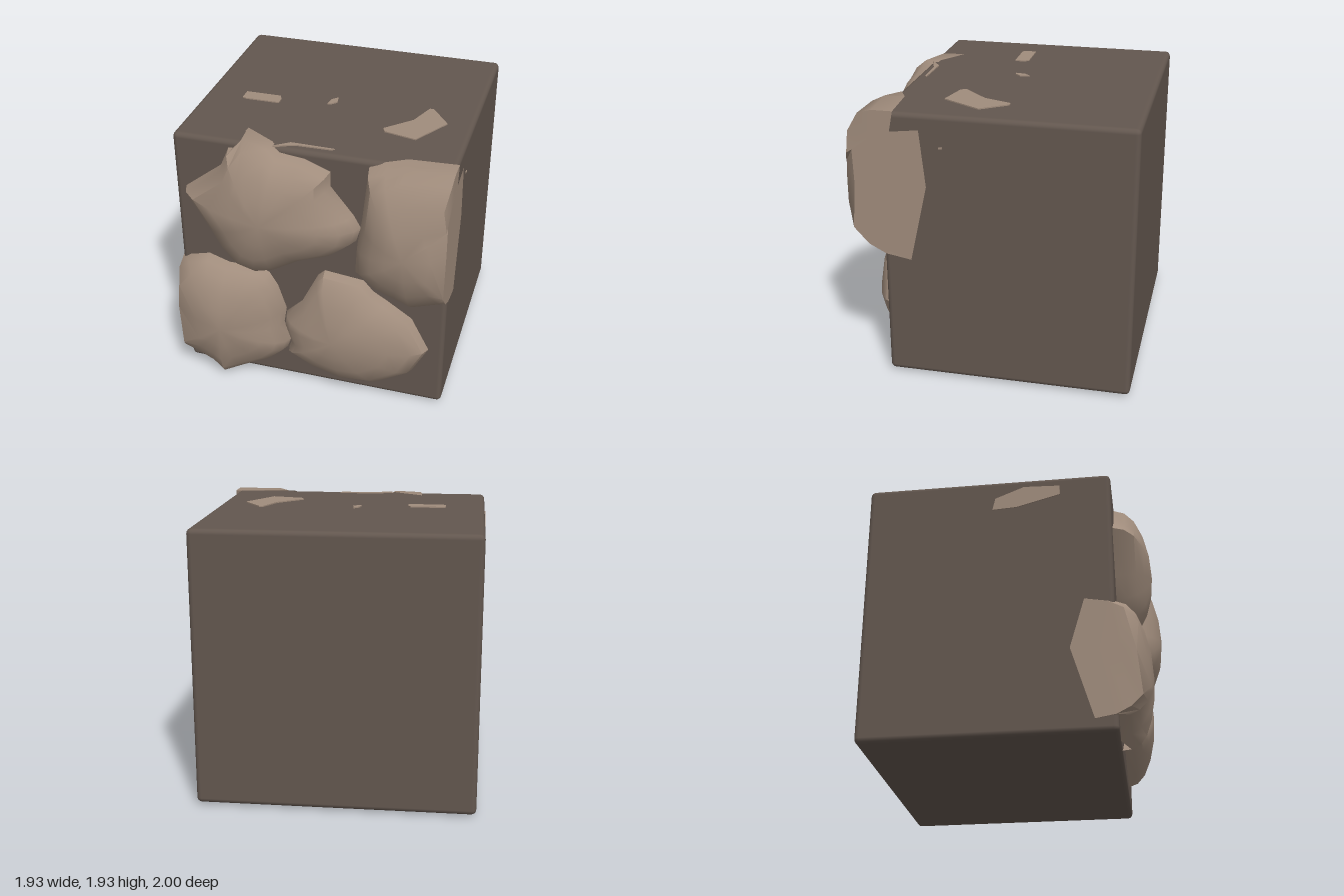
import * as THREE from 'three';
import { RoundedBoxGeometry } from 'three/addons/geometries/RoundedBoxGeometry.js';
import { toCreasedNormals } from 'three/addons/utils/BufferGeometryUtils.js';

const blockMat = new THREE.MeshStandardMaterial({ color: 0x63574f });
const stoneMat = new THREE.MeshStandardMaterial({ color: 0xa08c7c, side: THREE.DoubleSide });
const clamp = THREE.MathUtils.clamp;

// rings from rim to peak: [share of the outline, share of the rise]
const RINGS = [[1, 0], [0.94, 0.36], [0.82, 0.6], [0.6, 0.81], [0.32, 0.95]];

// Domed stone: the outline (counter-clockwise, optional z per point) shrinks
// towards the peak; whatever overshoots is cut flush just outside the block.
function stone(name, peak, outline) {
  const pos = [], index = [], n = outline.length;
  const add = (x, y, z) => pos.push(clamp(x, -0.965, 0.965), clamp(y, 0, 1.935), z);
  for (const [s, rise] of RINGS) {
    for (const [x, y, z = 0.68] of outline) {
      add(peak[0] + (x - peak[0]) * s, peak[1] + (y - peak[1]) * s, z + (peak[2] - z) * rise);
    }
  }
  add(...peak);
  for (let r = 0; r < RINGS.length; r++) {
    for (let i = 0; i < n; i++) {
      const a = r * n + i, b = r * n + (i + 1) % n;
      if (r === RINGS.length - 1) index.push(a, b, RINGS.length * n);
      else index.push(a, b, b + n, a, b + n, a + n);
    }
  }
  const geo = new THREE.BufferGeometry();
  geo.setAttribute('position', new THREE.Float32BufferAttribute(pos, 3));
  geo.setIndex(index);
  const mesh = new THREE.Mesh(toCreasedNormals(geo, 0.8), stoneMat);
  mesh.name = name;
  return mesh;
}

// Thin flake of stone showing through a face of the block
function flake(name, points, face) {
  const shape = new THREE.Shape(points.map(([u, v]) => new THREE.Vector2(u, v)));
  const geo = new THREE.ExtrudeGeometry(shape, { depth: 0.025, bevelEnabled: false });
  if (face === 'top') geo.rotateX(Math.PI / 2).translate(0, 1.933, 0);
  else geo.rotateY(-Math.PI / 2).translate(face === 'left' ? 0.963 : -0.94, 0, 0);
  const mesh = new THREE.Mesh(geo, stoneMat);
  mesh.name = name;
  return mesh;
}

export function createModel() {
  const model = new THREE.Group();
  model.name = 'stoneFacedBlock';

  const block = new THREE.Mesh(new RoundedBoxGeometry(1.915, 1.91, 1.7, 2, 0.035), blockMat);
  block.name = 'block';
  block.position.set(0, 0.97, -0.15);
  model.add(block);

  // four big stones on the front
  model.add(
    stone('upperRightStone', [-0.28, 1.45, 0.95], [
      [-0.89, 1.53], [-0.72, 1.25], [-0.64, 1.1], [-0.53, 0.97], [-0.39, 0.93], [-0.25, 0.97],
      [-0.05, 1.09], [0.18, 1.18], [0.33, 1.3], [0.36, 1.41], [0.31, 1.5], [0.15, 1.7],
      [0.15, 1.81], [-0.03, 1.88], [-0.2, 1.9], [-0.27, 1.96, 0.64], [-0.48, 1.99, 0.51],
      [-0.56, 1.88], [-0.62, 1.74],
    ]),
    stone('upperLeftStone', [0.7, 1.4, 1.0], [
      [0.33, 1.3], [0.32, 1.1], [0.46, 0.98], [0.62, 0.92], [0.74, 0.87], [0.97, 0.94, 0.66],
      [1.2, 0.89, 0.51], [1.25, 1.43, 0.39], [1.2, 1.82, 0.43], [1.15, 1.78, 0.63],
      [1.1, 2.02, 0.6], [0.64, 2.0, 0.62], [0.52, 1.93, 0.68], [0.4, 1.89], [0.36, 1.5],
    ]),
    stone('lowerRightStone', [-0.62, 0.5, 0.93], [
      [-1.15, 0.95, 0.5], [-1.2, 0.6, 0.4], [-1.15, 0.1, 0.55], [-0.91, 0.12], [-0.75, 0.04],
      [-0.65, 0, 0.76], [-0.52, 0.04], [-0.3, 0.16], [-0.18, 0.27], [-0.15, 0.36], [-0.2, 0.5],
      [-0.18, 0.63], [-0.24, 0.82], [-0.3, 0.92], [-0.36, 0.95], [-0.6, 0.95], [-0.75, 1.0],
      [-0.9, 0.96],
    ]),
    stone('lowerLeftStone', [0.2, 0.54, 0.91], [
      [-0.19, 0.6], [-0.2, 0.52], [-0.15, 0.36], [-0.18, 0.27], [0, 0.17], [0.25, 0.1],
      [0.5, 0.12], [0.75, 0.27], [0.86, 0.48], [0.73, 0.73], [0.55, 0.85], [0.45, 0.91],
      [0.38, 0.99], [0.1, 1.02], [0.05, 0.97], [-0.07, 0.72],
    ]),
  );

  // flakes on the top (x, z) and on the sides (z, y)
  model.add(
    flake('largeTopFlake', [[0.62, -0.1], [0.65, -0.1], [0.78, 0.08], [0.62, 0.35], [0.4, 0.3], [0.38, 0.26], [0.55, 0.09]], 'top'),
    flake('longTopFlake', [[-0.68, 0], [-0.43, 0], [-0.41, 0.04], [-0.41, 0.1], [-0.65, 0.1], [-0.68, 0.09]], 'top'),
    flake('smallTopFlake', [[-0.03, -0.09], [-0.02, -0.02], [-0.06, 0.02], [-0.08, 0.02], [-0.07, -0.05]], 'top'),
    flake('topSliver', [[-0.25, 0.69], [-0.15, 0.615], [0.15, 0.62], [0.13, 0.635], [-0.1, 0.64]], 'top'),
    flake('rightSideFlake', [[-0.12, 1.69], [0.05, 1.7], [0.35, 1.78], [0.35, 1.85], [0.1, 1.86], [-0.1, 1.78]], 'right'),
    flake('leftSideFlake', [[0.275, 1.7], [0.3, 1.7], [0.3, 1.712], [0.275, 1.712]], 'left'),
  );
  return model;
}
